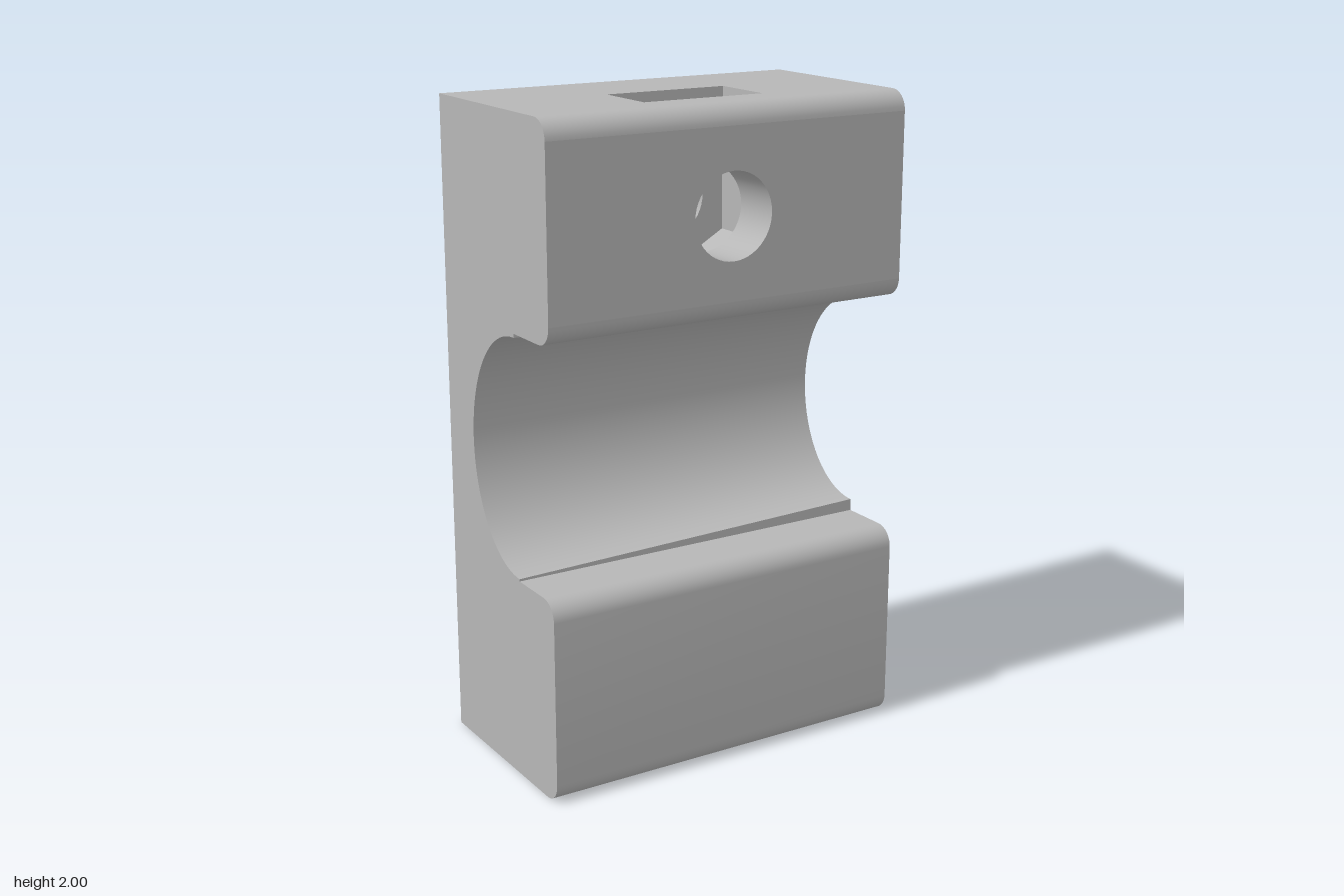
import * as THREE from 'three';
import { toCreasedNormals } from 'three/addons/utils/BufferGeometryUtils.js';

const W = 0.6, D = 0.325, H = 2, R = 0.06;       // half width, half depth, height, edge radius
const LOW = 0.63, HIGH = 1.375, LIP = 0.115;     // recess limits and lip position
const UPPER = 1.683, LOWER = 0.317;              // bolt hole heights

const arc = (cx, cy, rx, ry, from, to, n) => Array.from({ length: n + 1 }, (_, i) => {
  const a = from + (to - from) * i / n;
  return [cx + rx * Math.cos(a), cy + ry * Math.sin(a)];
});

// ruled surface between two rows of 3D points
function strip(a, b) {
  const pos = [], index = [];
  a.forEach((p, i) => {
    pos.push(...p, ...b[i]);
    const k = 2 * i;
    if (i < a.length - 1) index.push(k, k + 1, k + 3, k, k + 3, k + 2);
  });
  const g = new THREE.BufferGeometry();
  g.setAttribute('position', new THREE.Float32BufferAttribute(pos, 3));
  g.setIndex(index);
  return toCreasedNormals(g, 0.45);
}

const toVectors = (pts) => pts.map(([x, y]) => new THREE.Vector2(x, y));
function panel(outline, ...holes) {
  const s = new THREE.Shape(toVectors(outline));
  holes.forEach((h) => s.holes.push(new THREE.Path(toVectors(h))));
  return new THREE.ShapeGeometry(s);
}
const rect = (x, y0, y1) => [[-x, y0], [x, y0], [x, y1], [-x, y1]];
const circle = (y, r) => arc(0, y, r, r, 0, Math.PI * 2, 48);

// front profile as [z, y] from bottom to upper inner rounding, for one end of the tapered groove
function profile(r, deep) {
  const q = Math.PI / 2, z = D - R;
  return [
    ...arc(z, R, R, R, -q, 0, 8),
    ...arc(z, LOW - R, R, R, 0, q, 8),
    [LIP, LOW],
    ...arc(LIP, 1, LIP - deep, r, -q, -3 * q, 48),
    [LIP, HIGH],
    ...arc(z, HIGH + R, R, R, -q, 0, 8),
  ];
}

export function createModel() {
  const group = new THREE.Group();
  const grey = new THREE.MeshStandardMaterial({ color: 0xb6b6b6, side: THREE.DoubleSide });
  grey.name = 'plain grey';
  const add = (name, geometry) => {
    const m = new THREE.Mesh(geometry, grey);
    m.name = name;
    group.add(m);
    return m;
  };

  // lower jaw, lips and tapered saddle groove
  const left = profile(0.333, -0.15), right = profile(0.363, -0.165);
  const at = (pts, x) => pts.map(([z, y]) => [x, y, z]);
  add('frontAndSaddle', strip(at(right, -W), at(left, W)));

  // top front rounding and upper front face
  const topRound = arc(D - R, H - R, R, R, 0, Math.PI / 2, 8);
  add('topFrontEdge', strip(at(topRound, -W), at(topRound, W)));
  add('upperFrontFace', panel(rect(W, HIGH + R, H - R), circle(UPPER, 0.13)).translate(0, 0, D));

  // end faces
  const close = [...topRound, [-D, H], [-D, 0]];
  const mirror = [...left, ...close].map(([z, y]) => [-z, y]);
  add('leftEnd', panel(mirror).rotateY(Math.PI / 2).translate(W, 0, 0));
  add('rightEnd', panel([...right, ...close]).rotateY(-Math.PI / 2).translate(-W, 0, 0));

  // pocket depths in z
  const nut = [-0.045, 0.165], slot = [-0.035, 0.025];

  // back, top and bottom faces with their openings
  add('backFace', panel(rect(W, 0, H), circle(UPPER, 0.13), circle(LOWER, 0.15))
    .rotateY(Math.PI).translate(0, 0, -D));
  add('topFace', panel(rect(W, R - D, D), rect(0.2, -nut[1], -nut[0]))
    .rotateX(-Math.PI / 2).translate(0, H, 0));
  add('bottomFace', panel(rect(W, -D, D - R), rect(0.26, slot[0], slot[1])).rotateX(Math.PI / 2));

  // inward-facing walls along z
  const walls = (name, pts, z0, z1) =>
    add(name, strip(pts.map(([x, y]) => [x, y, z0]), pts.map(([x, y]) => [x, y, z1])));

  // bolt holes
  walls('upperHoleBack', circle(UPPER, 0.13), -D, nut[0]);
  walls('upperHoleFront', circle(UPPER, 0.13), nut[1], D);
  walls('lowerHole', circle(LOWER, 0.15), -D, slot[0]);

  // hexagonal nut pocket open at the top
  const hex = [[-0.2, H], [-0.2, UPPER - 0.115], [0, UPPER - 0.231], [0.2, UPPER - 0.115], [0.2, H]];
  walls('nutPocketWalls', hex, ...nut);
  add('nutPocketBack', panel(hex, circle(UPPER, 0.13)).translate(0, 0, nut[0]));
  add('nutPocketFront', panel(hex, circle(UPPER, 0.13)).rotateY(Math.PI).translate(0, 0, nut[1]));

  // thin round-ended slot open at the bottom
  const disc = [[0.26, 0], ...arc(0, LOWER, 0.26, 0.26, 0, Math.PI, 24), [-0.26, 0]];
  walls('slotWalls', disc, ...slot);
  add('slotBack', panel(disc, circle(LOWER, 0.15)).translate(0, 0, slot[0]));
  add('slotFront', panel(disc).rotateY(Math.PI).translate(0, 0, slot[1]));

  return group;
}
